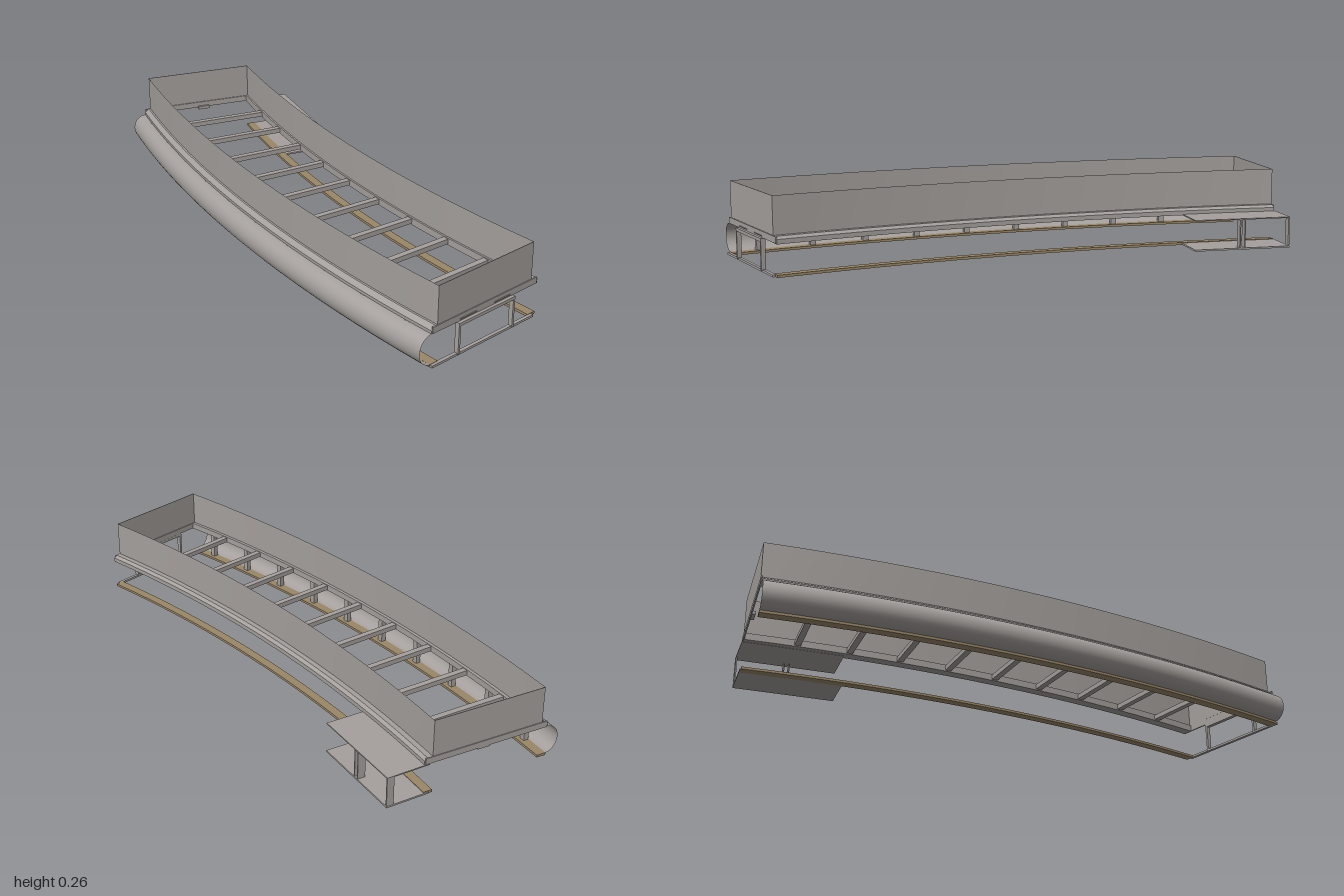
import * as THREE from 'three';

const CX = 5.3, CZ = 0.985, SWEEP = 20; // centre of the curve and its angle in degrees
const rad = THREE.MathUtils.degToRad;

// Point on the curve: radius r, height y, angle in degrees from the front end
function at(r, y, deg) {
  const a = rad(deg);
  return [CX - r * Math.cos(a), y, CZ - r * Math.sin(a)];
}

// Sweep a (radius, height) profile along the curve
function sweep(profile, { closed = true, smooth = false, a0 = 0, a1 = SWEEP, steps = 20 } = {}) {
  const pos = [], idx = [];
  const n = profile.length;
  const strip = (points) => {
    const base = pos.length / 3, m = points.length;
    for (let i = 0; i <= steps; i++) {
      for (const [r, y] of points) pos.push(...at(r, y, a0 + (a1 - a0) * i / steps));
    }
    for (let i = 0; i < steps; i++) {
      for (let j = 0; j < m - 1; j++) {
        const p = base + i * m + j, q = p + m;
        idx.push(p, p + 1, q, p + 1, q + 1, q);
      }
    }
  };
  if (smooth) strip(profile);
  else for (let j = 0; j < (closed ? n : n - 1); j++) strip([profile[j], profile[(j + 1) % n]]);
  if (closed) {
    [a0, a1].forEach((a, end) => {
      const base = pos.length / 3;
      for (const [r, y] of profile) pos.push(...at(r, y, a));
      for (let j = 1; j < n - 1; j++) {
        if (end) idx.push(base, base + j, base + j + 1);
        else idx.push(base, base + j + 1, base + j);
      }
    });
  }
  const g = new THREE.BufferGeometry();
  g.setAttribute('position', new THREE.Float32BufferAttribute(pos, 3));
  g.setIndex(idx);
  g.computeVertexNormals();
  return g;
}

const rect = (r0, r1, y0, y1) => [[r0, y0], [r0, y1], [r1, y1], [r1, y0]];

export function createModel() {
  const model = new THREE.Group();
  model.name = 'curvedFrameSection';
  const grey = new THREE.MeshStandardMaterial({ color: 0xa5a09d, side: THREE.DoubleSide });
  grey.name = 'warm grey';
  const tan = new THREE.MeshStandardMaterial({ color: 0x9a8768, side: THREE.DoubleSide });
  tan.name = 'dull tan';

  const add = (name, geometry, material = grey) => {
    const mesh = new THREE.Mesh(geometry, material);
    mesh.name = name;
    model.add(mesh);
    return mesh;
  };
  // Box spanning radii r0..r1 and heights y0..y1, turned to the curve at an angle
  const radialBox = (name, r0, r1, y0, y1, depth, deg, shift = 0) => {
    const mesh = add(name, new THREE.BoxGeometry(r1 - r0, y1 - y0, depth));
    mesh.position.set(...at((r0 + r1) / 2, (y0 + y1) / 2, deg));
    mesh.rotation.y = -rad(deg);
    mesh.position.x -= Math.sin(rad(deg)) * shift;
    mesh.position.z += Math.cos(rad(deg)) * shift;
    return mesh;
  };

  // Thin upright walls around the top
  add('outerWall', sweep([[5.715, 0.135], [5.715, 0.265]], { closed: false }));
  add('innerWall', sweep([[5.3, 0.265], [5.3, 0.135]], { closed: false }));
  for (const [name, deg] of [['frontWall', 0], ['backWall', SWEEP]]) {
    radialBox(name, 5.3, 5.715, 0.135, 0.265, 0.002, deg);
  }

  // Sills with sloping outer edges
  add('outerSill', sweep([[5.703, 0.112], [5.703, 0.135], [5.722, 0.135], [5.738, 0.122], [5.738, 0.112]]));
  add('innerSill', sweep([[5.27, 0.11], [5.27, 0.126], [5.281, 0.135], [5.307, 0.135], [5.307, 0.11]]));
  radialBox('frontSill', 5.275, 5.735, 0.112, 0.134, 0.005, 0);
  radialBox('backSill', 5.275, 5.735, 0.112, 0.134, 0.005, SWEEP);
  radialBox('backClip', 5.47, 5.515, 0.106, 0.118, 0.012, SWEEP, 0.006);
  for (const r of [5.435, 5.585]) {
    radialBox('frontSlotTrim', r - 0.036, r + 0.036, 0.117, 0.12, 0.004, 0, 0.003);
  }

  // Cross ribs
  for (let deg = 2; deg < SWEEP; deg += 2) {
    radialBox('crossRib', 5.3, 5.71, 0.114, 0.132, 0.022, deg);
  }

  // Half-round trough along the outside, open towards the middle
  const arc = [];
  for (let i = 0; i <= 14; i++) {
    const t = -Math.PI / 2 + Math.PI * i / 14;
    arc.push([5.737 + 0.048 * Math.cos(t), 0.06 + 0.052 * Math.sin(t)]);
  }
  add('halfRoundTrough', sweep(arc, { closed: false, smooth: true }));

  // Struts across the mouth of the trough
  for (let deg = 1; deg < SWEEP; deg += 2) {
    radialBox('troughStrut', 5.722, 5.74, 0.008, 0.112, 0.02, deg);
  }

  // Flat strips at ground level
  add('outerGroundStrip', sweep(rect(5.708, 5.742, 0, 0.009)), tan);
  add('innerGroundStrip', sweep(rect(5.272, 5.304, 0, 0.009)), tan);

  // Open bracket at the front end
  radialBox('frontTie', 5.29, 5.74, 0, 0.008, 0.012, 0, 0.004);
  for (const r of [5.39, 5.63]) {
    radialBox('bracketPost', r - 0.004, r + 0.004, 0.004, 0.112, 0.016, 0, 0.005);
  }
  radialBox('bracketTop', 5.386, 5.634, 0.101, 0.112, 0.016, 0, 0.005);

  // Side platform near the back end: two plates joined by posts
  const platform = new THREE.Group();
  platform.name = 'sidePlatform';
  platform.position.set(0.35, 0, -0.633);
  platform.rotation.y = -rad(18);
  const part = (name, w, h, d, x, y, z) => {
    const mesh = new THREE.Mesh(new THREE.BoxGeometry(w, h, d), grey);
    mesh.name = name;
    mesh.position.set(x, y, z);
    platform.add(mesh);
  };
  part('upperPlate', 0.156, 0.004, 0.358, 0, 0.111, 0);
  part('lowerPlate', 0.156, 0.006, 0.358, 0, 0.004, 0);
  part('backPost', 0.026, 0.106, 0.005, 0.065, 0.058, -0.176);
  for (const z of [-0.009, 0.009]) part('middlePost', 0.028, 0.106, 0.004, 0.063, 0.058, z);
  model.add(platform);

  return model;
}
